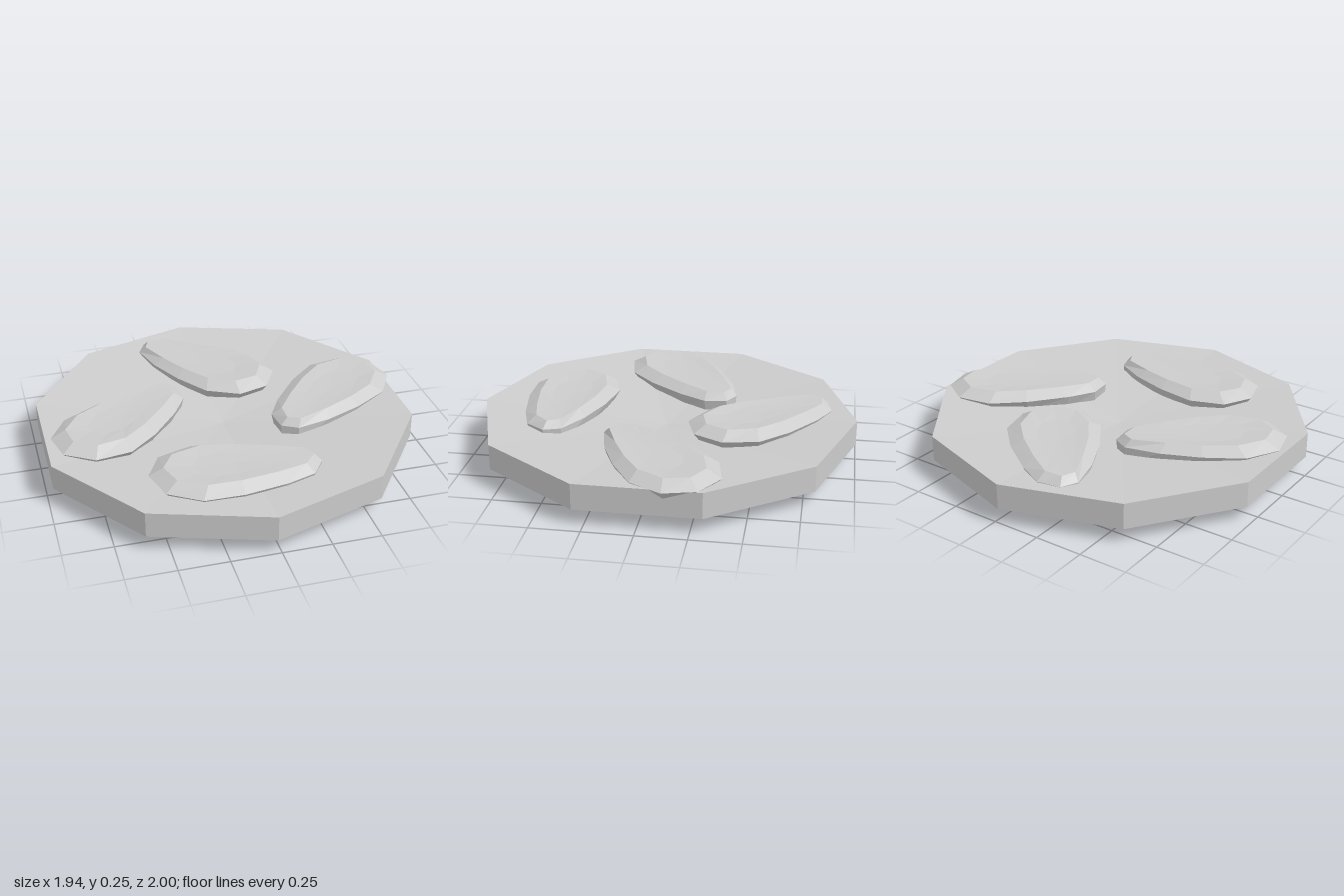
import * as THREE from 'three';

const mat = new THREE.MeshStandardMaterial({ color: 0xcccccc, flatShading: true, side: THREE.DoubleSide });

// Nut outline seen from above: narrow tip at +x, wide end at -x
const outline = [
  [0.40, -0.04], [0.43, 0.05], [0.36, 0.15], [0.21, 0.20], [-0.02, 0.24], [-0.22, 0.24],
  [-0.38, 0.14], [-0.43, -0.03], [-0.35, -0.18], [-0.17, -0.24], [0.04, -0.20], [0.24, -0.13],
];

// Rings from the dished top, over the bevel and rim, to the underside:
// scale at the wide end, scale at the tip, scale in z, height at the wide end, height at the tip
const rings = [
  [0.5, 0.55, 0.42, 0.238, 0.238],
  [0.83, 0.91, 0.72, 0.25, 0.24],
  [1, 1, 1, 0.209, 0.203],
  [0.93, 0.98, 0.85, 0.17, 0.10],
  [0.6, 0.88, 0.5, 0.12, 0.03],
];
const topCentre = [0, 0.235, 0];
const lowestPoint = [0.35, 0.008, 0.04];

function nutGeometry() {
  const n = outline.length;
  const positions = [];
  const index = [];
  for (const [wide, tip, sz, yWide, yTip] of rings) {
    for (const [x, z] of outline) {
      const t = (x + 0.43) / 0.86;
      positions.push(x * (x > 0.3 ? tip : wide), THREE.MathUtils.lerp(yWide, yTip, t), z * sz);
    }
  }
  positions.push(...topCentre, ...lowestPoint);
  const top = rings.length * n;
  const last = top - n;
  for (let i = 0; i < n; i++) {
    const j = (i + 1) % n;
    for (let r = 0; r < last; r += n) {
      index.push(r + i, r + n + j, r + n + i, r + i, r + j, r + n + j);
    }
    // Fans closing the top and the underside
    index.push(top, j, i, last + i, last + j, top + 1);
  }
  const indexed = new THREE.BufferGeometry();
  indexed.setAttribute('position', new THREE.Float32BufferAttribute(positions, 3));
  indexed.setIndex(index);
  const geometry = indexed.toNonIndexed();
  geometry.computeVertexNormals();
  return geometry;
}

export function createModel() {
  const group = new THREE.Group();

  // Ten-sided biscuit: top sinking to the middle, upright rim, sloping underside with an open middle
  const profile = [[0.58, 0], [1, 0.075], [1, 0.208], [0, 0.125]].map(([r, y]) => new THREE.Vector2(r, y));
  const biscuitGeometry = new THREE.LatheGeometry(profile, 10).toNonIndexed();
  biscuitGeometry.computeVertexNormals();
  const biscuit = new THREE.Mesh(biscuitGeometry, mat);
  biscuit.name = 'biscuit';
  biscuit.position.x = -0.02;
  group.add(biscuit);

  // Four nuts pressed into the top: x, z, turn in degrees
  const geometry = nutGeometry();
  const nuts = {
    frontNut: [-0.10, 0.545, 0],
    rightNut: [-0.56, -0.045, 42],
    backNut: [-0.005, -0.505, 135],
    leftNut: [0.585, -0.02, 222],
  };
  for (const [name, [x, z, turn]] of Object.entries(nuts)) {
    const nut = new THREE.Mesh(geometry, mat);
    nut.name = name;
    nut.position.set(x, 0, z);
    nut.rotation.y = THREE.MathUtils.degToRad(turn);
    group.add(nut);
  }
  return group;
}
